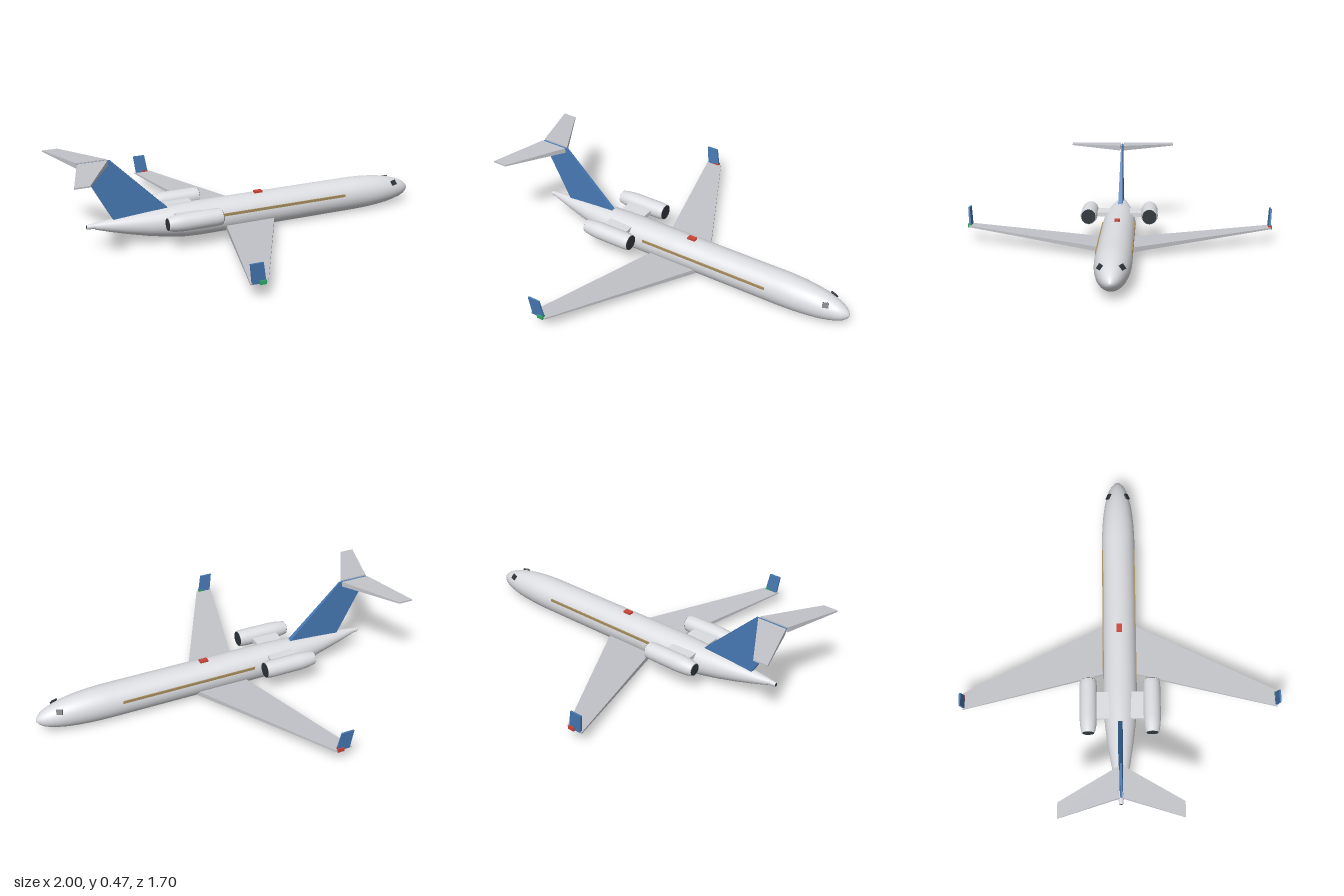
import * as THREE from 'three';
import { ConvexGeometry } from 'three/addons/geometries/ConvexGeometry.js';

const mat = (name, color) => Object.assign(new THREE.MeshStandardMaterial({ color }), { name });

export function createModel() {
  const model = new THREE.Group();
  model.name = 'airliner';
  const body = mat('bodyWhite', 0xdcdde1);
  const wingGrey = mat('wingGrey', 0xc2c4c9);
  const blue = mat('tailBlue', 0x4679b3);
  const dark = mat('darkGlass', 0x2e353c);
  const gold = mat('stripeGold', 0xa8905f);
  const red = mat('lightRed', 0xcc4437);
  const green = mat('lightGreen', 0x2fa866);

  const add = (name, geometry, material, x = 0, y = 0, z = 0) => {
    const mesh = new THREE.Mesh(geometry, material);
    mesh.name = name;
    mesh.position.set(x, y, z);
    model.add(mesh);
    return mesh;
  };
  // Solid of revolution along x from [x, radius] pairs, seam underneath
  const revolve = (profile, sides) => new THREE.LatheGeometry(
    profile.map(([x, r]) => new THREE.Vector2(r, x)), sides, Math.PI / 2).rotateZ(-Math.PI / 2);
  // Tapered flat surface spanned between corner points
  const slab = (points) => new ConvexGeometry(points.map((p) => new THREE.Vector3(...p)));
  // Horizontal chord section: rear x, front x, bottom y, top y, z
  const chord = (x0, x1, y0, y1, z) => [[x0, y0, z], [x1, y0, z], [x1, y1, z], [x0, y1, z]];

  // Fuselage: round sections whose centre line rises to the tail and dips at the nose
  const sections = [
    [-0.83, 0.017, 0.137], [-0.75, 0.033, 0.128], [-0.65, 0.051, 0.118], [-0.55, 0.067, 0.109],
    [-0.45, 0.08, 0.102], [-0.36, 0.088, 0.097], [-0.28, 0.091, 0.096], [0, 0.091, 0.096],
    [0.64, 0.091, 0.096], [0.72, 0.088, 0.095], [0.79, 0.082, 0.094], [0.85, 0.074, 0.092],
    [0.9, 0.063, 0.09], [0.94, 0.051, 0.088], [0.97, 0.037, 0.086], [0.99, 0.021, 0.085],
    [0.998, 0.009, 0.085], [1, 0, 0.085],
  ];
  const fuselage = revolve(sections, 40);
  const pos = fuselage.attributes.position;
  for (let i = 0; i < pos.count; i++) {
    const x = pos.getX(i);
    let k = 1;
    while (k < sections.length - 1 && sections[k][0] < x) k++;
    const [a, b] = [sections[k - 1], sections[k]];
    const t = THREE.MathUtils.clamp((x - a[0]) / (b[0] - a[0]), 0, 1);
    pos.setY(i, pos.getY(i) + THREE.MathUtils.lerp(a[2], b[2], t));
  }
  fuselage.computeVertexNormals();
  add('fuselage', fuselage, body);

  // Tail cone and its dark outlet
  add('tailCone', new THREE.CylinderGeometry(0.011, 0.016, 0.05, 20).rotateZ(Math.PI / 2), body, -0.845, 0.138, 0);
  add('tailOutlet', new THREE.CylinderGeometry(0.009, 0.009, 0.003, 20).rotateZ(Math.PI / 2), dark, -0.87, 0.138, 0);

  // Swept fin, thinner toward the top
  const finPoints = [];
  for (const s of [-1, 1]) {
    finPoints.push([-0.727, 0.15, s * 0.013], [-0.41, 0.15, s * 0.013],
      [-0.735, 0.475, s * 0.005], [-0.905, 0.475, s * 0.005]);
  }
  add('fin', slab(finPoints), blue);

  // Roof beacon
  add('beacon', new THREE.BoxGeometry(0.045, 0.018, 0.028), red, 0.073, 0.187, 0);

  for (const s of [1, -1]) {
    const side = s > 0 ? 'right' : 'left';

    // Main wing with slight upward slope
    add(side + 'Wing', slab([
      ...chord(-0.137, 0.145, 0.031, 0.057, s * 0.06),
      ...chord(-0.345, -0.255, 0.08, 0.088, s * 0.84)]), wingGrey);

    // Winglet leaning outward
    add(side + 'Winglet', slab([0, 1].flatMap((t) => [
      [-0.335, 0.08, s * (0.828 + t * 0.012)], [-0.265, 0.08, s * (0.828 + t * 0.012)],
      [-0.282, 0.186, s * (0.838 + t * 0.009)], [-0.349, 0.186, s * (0.838 + t * 0.009)]])), blue);
    add(side + 'TipLight', new THREE.BoxGeometry(0.034, 0.02, 0.02), s > 0 ? green : red, -0.283, 0.086, s * 0.838);

    // Tailplane on top of the fin
    add(side + 'Tailplane', slab([
      ...chord(-0.905, -0.748, 0.451, 0.479, s * 0.009),
      ...chord(-1, -0.922, 0.461, 0.469, s * 0.308)]), wingGrey);

    // Rear engine with dark intake and outlet
    const ez = s * 0.168, ey = 0.153;
    add(side + 'Engine', revolve([[-0.497, 0], [-0.497, 0.035], [-0.497, 0.035], [-0.46, 0.042], [-0.41, 0.046],
      [-0.24, 0.046], [-0.21, 0.043], [-0.21, 0.043], [-0.21, 0]], 28), body, 0, ey, ez);
    for (const [name, x, r] of [['Intake', -0.2095, 0.04], ['Outlet', -0.4975, 0.031]]) {
      add(side + name, new THREE.CylinderGeometry(r, r, 0.004, 28).rotateZ(Math.PI / 2), dark, x, ey, ez);
    }
    add(side + 'Pylon', new THREE.BoxGeometry(0.145, 0.023, 0.08), body, -0.35, 0.152, s * 0.095);

    // Side stripe
    add(side + 'Stripe', new THREE.BoxGeometry(0.75, 0.014, 0.009), gold, 0.185, 0.122, s * 0.086);

    // Cockpit window plate turned to face outward
    const pane = add(side + 'CockpitWindow', new THREE.BoxGeometry(0.032, 0.028, 0.009), dark, 0.888, 0.138, s * 0.052);
    pane.lookAt(0.888 + 0.3, 0.138 + 0.6, s * (0.052 + 0.75));
  }
  return model;
}
